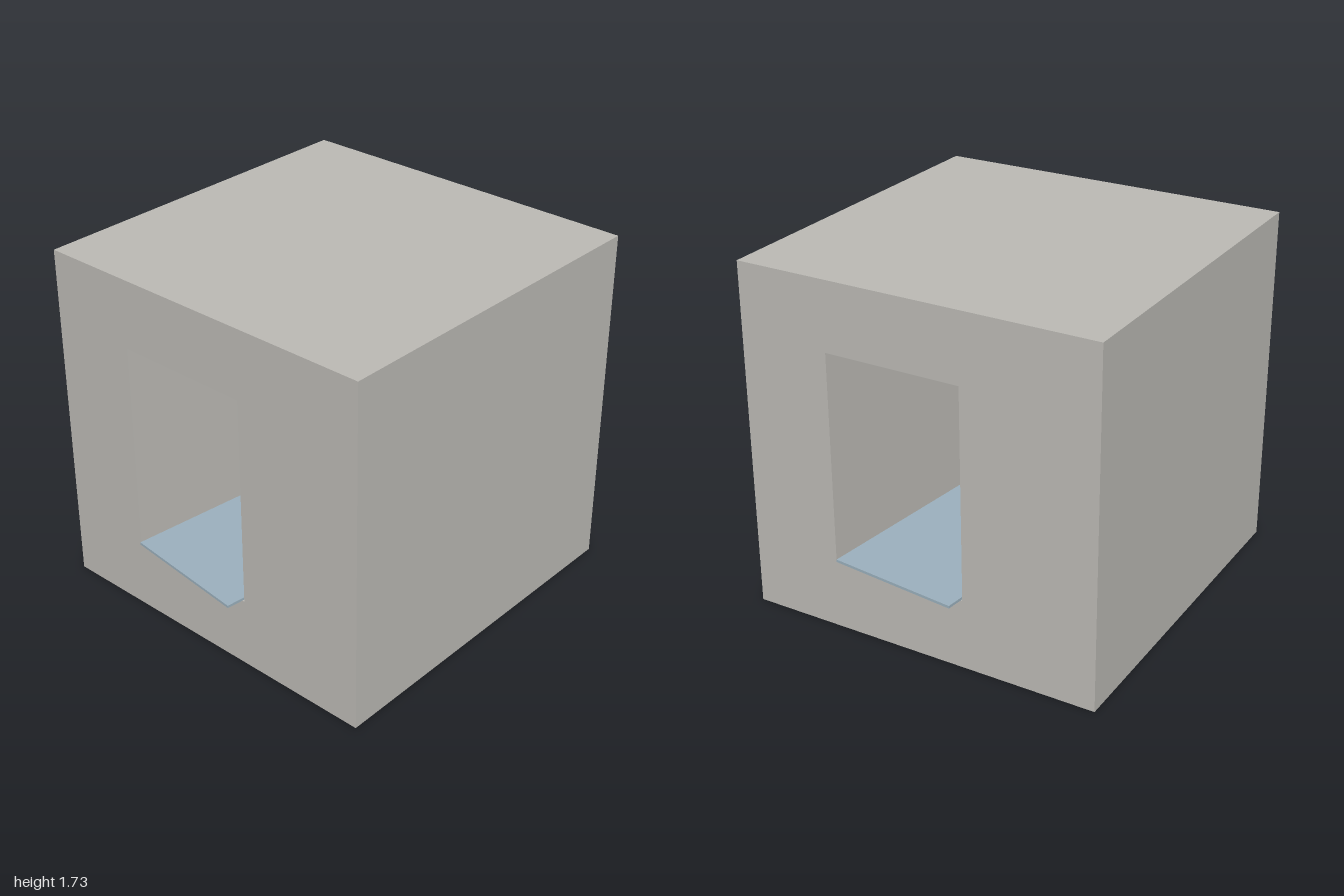
import * as THREE from 'three';

const H = 1.73;                            // block height
const W = 0.338, LOW = 0.35, TOP = 1.39;   // tunnel half width, floor and ceiling

// z of the slanted front wall at a given x
const frontZ = (x) => 0.995 - ((x + 0.79) * 0.2) / 1.79;

// Flat four-cornered panel
function quad(a, b, c, d) {
  const g = new THREE.BufferGeometry();
  g.setAttribute('position', new THREE.Float32BufferAttribute([...a, ...b, ...c, ...d], 3));
  g.setIndex([0, 1, 2, 0, 2, 3]);
  g.computeVertexNormals();
  return g;
}

// Wall with the tunnel opening, slanted by moving its vertices
function openWall() {
  const s = new THREE.Shape([[-0.79, 0], [1, 0], [1, H], [-0.79, H]].map((p) => new THREE.Vector2(...p)));
  s.holes.push(new THREE.Path([[-W, LOW], [-W, TOP], [W, TOP], [W, LOW]].map((p) => new THREE.Vector2(...p))));
  const g = new THREE.ShapeGeometry(s);
  const p = g.attributes.position;
  for (let i = 0; i < p.count; i++) p.setZ(i, frontZ(p.getX(i)));
  g.computeVertexNormals();
  return g;
}

export function createModel() {
  const concrete = new THREE.MeshStandardMaterial({ color: 0xbab8b3, side: THREE.DoubleSide });
  concrete.name = 'concrete grey';
  const blue = new THREE.MeshStandardMaterial({ color: 0x9aafbc });
  blue.name = 'pale blue';

  const model = new THREE.Group();
  model.name = 'tunnelBlock';
  const add = (name, geometry, material = concrete, turn = 0) => {
    const m = new THREE.Mesh(geometry, material);
    m.name = name;
    m.rotation.y = turn;
    model.add(m);
    return m;
  };

  // Outer walls and tunnel sides; each opposite one is a half turn away
  const wall = openWall();
  const side = quad([1, 0, 0.795], [0.79, 0, -0.995], [0.79, H, -0.995], [1, H, 0.795]);
  const zr = frontZ(W), zl = frontZ(-W);
  const tunnelSide = quad([W, LOW, -zl], [W, LOW, zr], [W, TOP, zr], [W, TOP, -zl]);
  [['frontWall', 'leftWall', 'tunnelLeftSide'], ['backWall', 'rightWall', 'tunnelRightSide']]
    .forEach(([a, b, c], i) => {
      add(a, wall, concrete, i * Math.PI);
      add(b, side, concrete, i * Math.PI);
      add(c, tunnelSide, concrete, i * Math.PI);
    });

  // Roof; the underside of the block stays open
  add('roof', quad([-0.79, H, 0.995], [1, H, 0.795], [0.79, H, -0.995], [-1, H, -0.795]));

  // Tunnel floor and ceiling
  const deck = (y) => quad([-W, y, zl], [W, y, zr], [W, y, -zl], [-W, y, -zr]);
  add('tunnelFloor', deck(LOW));
  add('tunnelCeiling', deck(TOP));

  // Thin slab lying in the tunnel and jutting out at both ends
  add('slab', new THREE.BoxGeometry(0.66, 0.013, 1.91), blue).position.set(-0.002, 0.3585, 0);

  return model;
}
